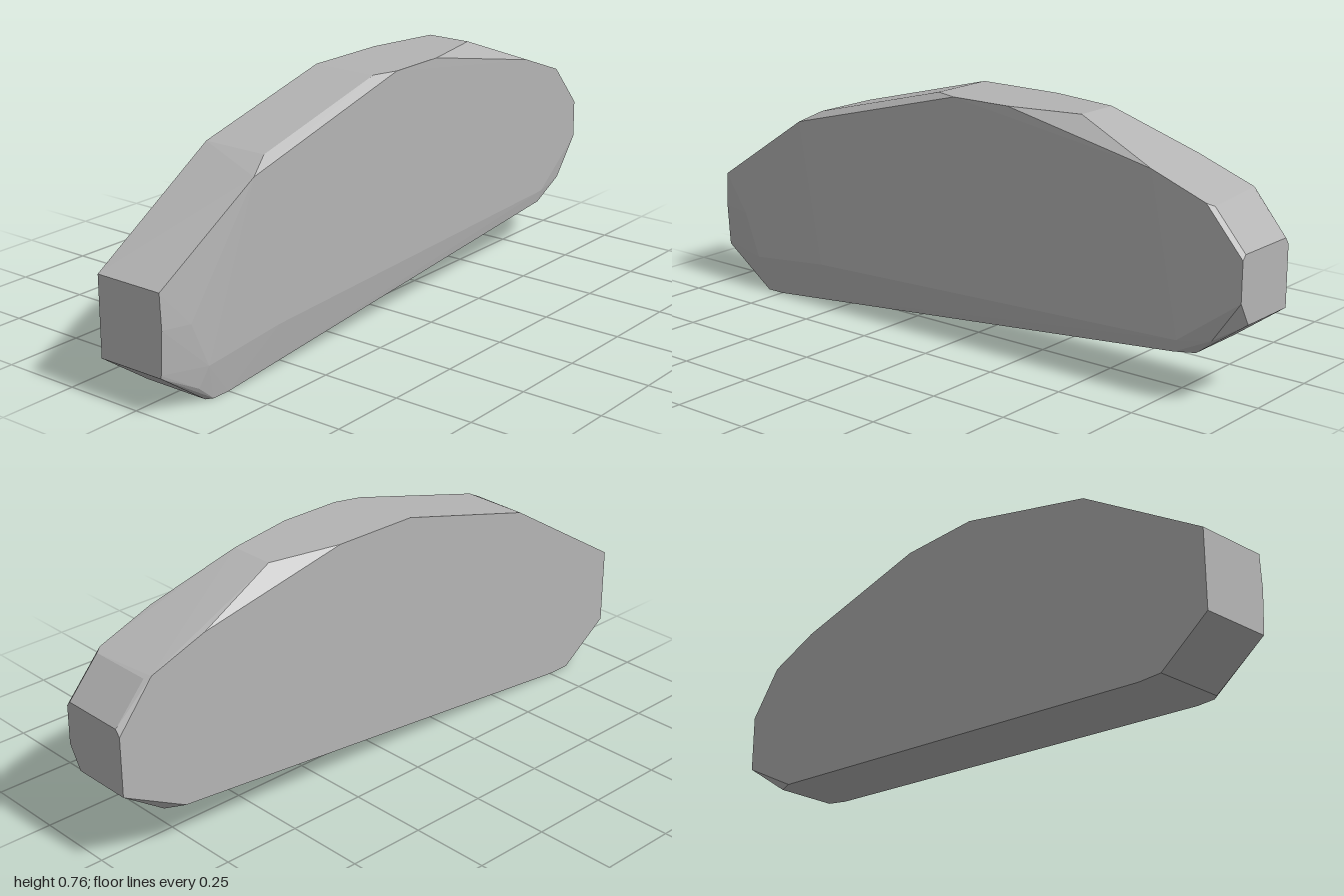
import * as THREE from 'three';
import { ConvexGeometry } from 'three/addons/geometries/ConvexGeometry.js';

export function createModel() {
  const model = new THREE.Group();
  model.name = 'stoneSlab';
  const stone = new THREE.MeshStandardMaterial({ color: 0xb4b4b4 });
  stone.name = 'stone grey';

  // Flat back outline (x, y)
  const back = [
    [-1, 0.365], [-0.565, 0.635], [-0.08, 0.76], [0.2, 0.76], [0.7, 0.655], [0.885, 0.588],
    [1, 0.445], [1, 0.26], [0.91, 0.215], [0.79, 0.148], [-0.75, 0], [-0.83, 0], [-1, 0.12],
  ].map(([x, y]) => [x, y, -0.125]);

  // Chipped corners along the rim
  const rim = [
    [0.43, 0.76, -0.08], [0.43, 0.76, 0.065],
    [0.9, 0.58, -0.11], [0.9, 0.58, 0.097],
    [1, 0.465, -0.11], [1, 0.465, 0.097],
    [1, 0.26, 0.07], [0.85, 0.152, -0.103], [0.85, 0.152, 0.09],
    [-0.565, 0.635, 0.09], [-0.08, 0.76, 0.09],
    [-0.83, 0, 0.095], [-1, 0.12, 0.098],
  ];

  // Slightly bulging front face with a bevelled foot and left end
  const front = [
    [-1, 0.365, 0.103], [-1, 0.26, 0.108], [-1, 0.13, 0.1],
    [-0.9, 0.25, 0.119], [-0.64, 0.595, 0.119],
    [0, 0.76, 0.115], [0.2, 0.76, 0.113], [0.7, 0.655, 0.111], [0.88, 0.588, 0.11],
    [1, 0.45, 0.11], [1, 0.33, 0.111], [0.91, 0.205, 0.107],
    [0.8, 0.185, 0.115], [0.79, 0.148, 0.109],
    [-0.55, 0.14, 0.125], [-0.84, 0.11, 0.123],
    [-0.87, 0.05, 0.112], [-0.81, 0, 0.109], [-0.75, 0, 0.109],
  ];

  const points = [...back, ...rim, ...front].map((p) => new THREE.Vector3(...p));
  const slab = new THREE.Mesh(new ConvexGeometry(points), stone);
  slab.name = 'slab';
  model.add(slab);
  return model;
}
